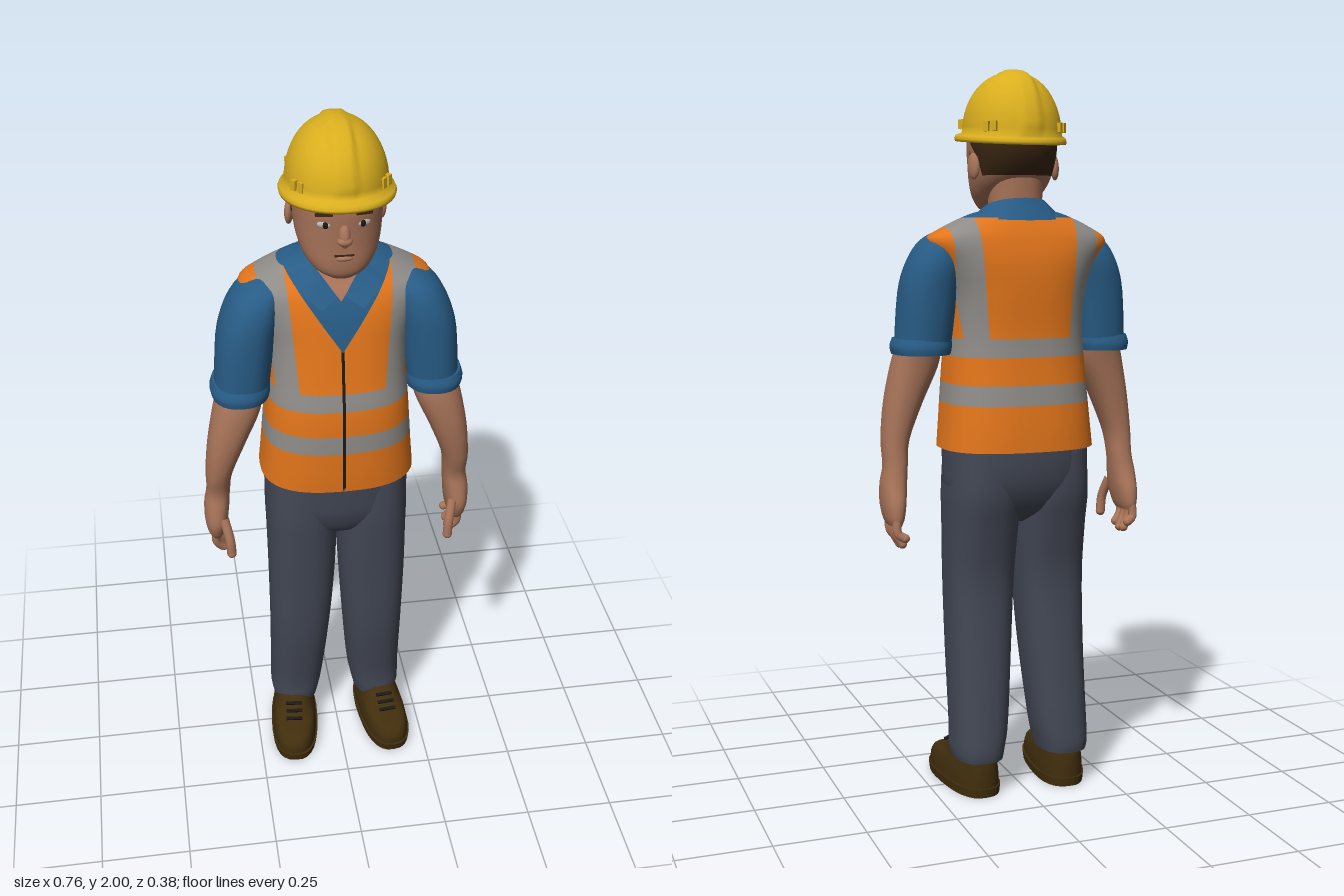
import * as THREE from 'three';

const mat = (name, color, side = THREE.FrontSide) =>
  Object.assign(new THREE.MeshStandardMaterial({ color, side }), { name });
const M = {
  orange: mat('vest orange', 0xe2751b), silver: mat('reflective grey', 0x8f8c88),
  blue: mat('shirt blue', 0x285c86, THREE.DoubleSide), skin: mat('skin', 0xa87459),
  slate: mat('trouser slate', 0x434855), brown: mat('boot brown', 0x412e0d),
  yellow: mat('helmet yellow', 0xd9ae1e), hair: mat('hair brown', 0x3a2612),
  dark: mat('dark trim', 0x1c1815), white: mat('eye white', 0xb9b4ac),
};

function add(parent, name, geo, material, pos, rot, scale) {
  const m = new THREE.Mesh(geo, material);
  m.name = name;
  if (pos) m.position.set(...pos);
  if (rot) m.rotation.set(...rot);
  if (scale) m.scale.set(...scale);
  parent.add(m);
  return m;
}

// Stacked rounded rings [y, xMin, xMax, zFront, zBack], listed from the bottom up
function loft(rings, { seg = 28, sub = 4, p = 2.3, rule } = {}) {
  const n = rings.length, rows = (n - 1) * sub, pos = [], idx = [];
  const at = (i, k) => rings[Math.min(n - 1, Math.max(0, i))][k];
  const cr = (a, b, c, d, t) =>
    b + 0.5 * t * (c - a + t * (2 * a - 5 * b + 4 * c - d + t * (3 * (b - c) + d - a)));
  const sp = (v) => Math.sign(v) * Math.abs(v) ** (2 / p);
  const put = (x, y, z) => pos.push(...(rule ? rule(x, y, z) : [x, y, z]));
  const ring = (r) => {
    const i = Math.min(n - 2, Math.floor(r / sub)), t = r / sub - i;
    const [y, x0, x1, zf, zb] = [0, 1, 2, 3, 4].map((k) => cr(at(i - 1, k), at(i, k), at(i + 1, k), at(i + 2, k), t));
    for (let j = 0; j < seg; j++) {
      const a = (j / seg) * Math.PI * 2;
      put((x0 + x1) / 2 + ((x1 - x0) / 2) * sp(Math.sin(a)), y, (zf + zb) / 2 + ((zf - zb) / 2) * sp(Math.cos(a)));
    }
    return [(x0 + x1) / 2, y, (zf + zb) / 2];
  };
  for (let r = 0; r <= rows; r++) ring(r);
  for (let r = 0; r < rows; r++) for (let j = 0; j < seg; j++) {
    const a = r * seg + j, b = r * seg + (j + 1) % seg;
    idx.push(a, b, b + seg, a, b + seg, a + seg);
  }
  for (const r of [0, rows]) { // end caps
    const base = pos.length / 3, c = ring(r);
    put(...c);
    for (let j = 0; j < seg; j++) {
      const a = base + j, b = base + (j + 1) % seg;
      idx.push(base + seg, ...(r ? [a, b] : [b, a]));
    }
  }
  const g = new THREE.BufferGeometry();
  g.setAttribute('position', new THREE.Float32BufferAttribute(pos, 3));
  g.setIndex(idx);
  g.computeVertexNormals();
  return g;
}

// Slices a surface along the zero lines of cuts, then sorts the faces into colours
function paint(parent, name, geo, cuts, pick) {
  const g = geo.toNonIndexed(), P = g.attributes.position.array, N = g.attributes.normal.array;
  let tris = [];
  for (let i = 0; i < P.length; i += 9)
    tris.push([0, 3, 6].map((k) => [...P.slice(i + k, i + k + 3), ...N.slice(i + k, i + k + 3)]));
  for (const f of cuts) {
    const next = [];
    for (const t of tris) {
      const d = t.map((v) => { const e = f(...v); return Math.abs(e) < 1e-6 ? 0 : e; });
      if (d.every((e) => e >= 0) || d.every((e) => e <= 0)) { next.push(t); continue; }
      for (const s of [1, -1]) {
        const poly = [];
        for (let i = 0; i < 3; i++) {
          const j = (i + 1) % 3, u = d[i] / (d[i] - d[j]);
          if (d[i] * s >= 0) poly.push(t[i]);
          if (d[i] * d[j] < 0) poly.push(t[i].map((v, k) => v + (t[j][k] - v) * u));
        }
        for (let i = 2; i < poly.length; i++) next.push([poly[0], poly[i - 1], poly[i]]);
      }
    }
    tris = next;
  }
  const bins = {};
  for (const t of tris) {
    const key = pick(...[0, 1, 2].map((k) => (t[0][k] + t[1][k] + t[2][k]) / 3));
    (bins[key] ??= []).push(...t);
  }
  for (const [key, vs] of Object.entries(bins)) {
    const b = new THREE.BufferGeometry();
    b.setAttribute('position', new THREE.Float32BufferAttribute(vs.flatMap((v) => v.slice(0, 3)), 3));
    b.setAttribute('normal', new THREE.Float32BufferAttribute(vs.flatMap((v) => v.slice(3)), 3));
    add(parent, `${name} ${key}`, b, M[key]);
  }
}

const sym = (rings) => rings.map(([y, w, f, b]) => [y, -w, w, f, b]);
const flip = (rings, s) => (s > 0 ? rings : rings.map(([y, a, b, f, k]) => [y, -b, -a, f, k]));
const ball = (r) => new THREE.SphereGeometry(r, 16, 12);

function torso(g) {
  const body = loft(sym([[0.975, 0.215, 0.153, -0.188], [1.05, 0.208, 0.156, -0.183], [1.2, 0.196, 0.154, -0.166],
    [1.3, 0.188, 0.138, -0.16], [1.4, 0.193, 0.122, -0.162], [1.48, 0.222, 0.108, -0.16], [1.54, 0.256, 0.088, -0.148],
    [1.575, 0.212, 0.066, -0.136], [1.61, 0.135, 0.045, -0.118], [1.625, 0.08, 0.02, -0.1]]), { seg: 48, p: 2.6 });
  const bands = [1.1, 1.155, 1.23, 1.28];
  const vee = (x, y) => y - 1.395 - 1.5 * Math.abs(x);
  const throat = (x, y) => y - 1.53 - 1.3 * Math.abs(x);
  const inner = (x, y) => Math.abs(x) - 0.115 - 0.08 * (y - 1.28);
  const outer = (x, y) => Math.abs(x) - 0.172 - 0.13 * (y - 1.28);
  const zip = (x) => Math.abs(x) - 0.004;
  paint(g, 'vest and shirt', body,
    [...bands.map((h) => (x, y) => y - h), (x, y) => y - 1.603, (x, y, z) => z + 0.03, vee, throat, inner, outer, zip],
    (x, y, z) => {
      const front = z > -0.03;
      if (front && throat(x, y) > 0) return 'skin';
      if ((front && vee(x, y) > 0) || y > 1.603) return 'blue';
      if (front && zip(x) < 0 && y > 0.98) return 'dark';
      if ((y > bands[0] && y < bands[1]) || (y > bands[2] && y < bands[3])) return 'silver';
      return y > 1.28 && inner(x, y) > 0 && outer(x, y) < 0 ? 'silver' : 'orange';
    });
  // Folded collar: a strip between a neck edge and a lower edge ending in points
  const edge = (pts) => new THREE.CatmullRomCurve3([...pts.slice(1).reverse().map(([x, y, z]) => [-x, y, z]), ...pts]
    .map((v) => new THREE.Vector3(...v))).getPoints(40);
  const top = edge([[0, 1.655, -0.108], [0.06, 1.65, -0.085], [0.085, 1.632, -0.01], [0.06, 1.602, 0.055], [0.01, 1.545, 0.093]]);
  const low = edge([[0, 1.595, -0.137], [0.1, 1.597, -0.108], [0.136, 1.592, -0.01], [0.11, 1.565, 0.075], [0.055, 1.52, 0.117]]);
  const collar = new THREE.PlaneGeometry(1, 1, 40, 1), p = collar.attributes.position;
  [...top, ...low].forEach((v, i) => p.setXYZ(i, v.x, v.y, v.z));
  collar.computeVertexNormals();
  add(g, 'collar', collar, M.blue);
}

function head(g) {
  add(g, 'neck', loft(sym([[1.53, 0.085, 0.06, -0.1], [1.62, 0.073, 0.045, -0.095], [1.75, 0.075, 0.05, -0.1]])), M.skin);
  const skull = loft(sym([[1.612, 0.035, 0.122, 0.05], [1.63, 0.068, 0.134, 0.01], [1.66, 0.092, 0.139, -0.04],
    [1.7, 0.107, 0.14, -0.09], [1.75, 0.114, 0.143, -0.126], [1.8, 0.117, 0.146, -0.14], [1.86, 0.113, 0.14, -0.135]]), { seg: 40 });
  const line = (x, y, z) => z + 0.04 - Math.max(0, y - 1.76) * 1.2;
  paint(g, 'head', skull, [(x, y) => y - 1.715, line], (x, y, z) => (y > 1.715 && line(x, y, z) < 0 ? 'hair' : 'skin'));
  add(g, 'nose', ball(1), M.skin, [0, 1.74, 0.143], [-0.25, 0, 0], [0.015, 0.032, 0.016]);
  add(g, 'nose tip', ball(1), M.skin, [0, 1.727, 0.148], null, [0.02, 0.013, 0.015]);
  add(g, 'mouth', new THREE.BoxGeometry(0.05, 0.005, 0.008), M.hair, [0, 1.684, 0.136]);
  add(g, 'lower lip', ball(1), M.skin, [0, 1.675, 0.135], null, [0.024, 0.008, 0.009]);
  for (const s of [1, -1]) {
    add(g, 'ear', ball(1), M.skin, [s * 0.118, 1.74, -0.02], [0.15, s * 0.3, 0], [0.012, 0.036, 0.023]);
    add(g, 'sideburn', new THREE.BoxGeometry(0.006, 0.06, 0.018), M.hair, [s * 0.113, 1.785, 0.008]);
    add(g, 'eye', ball(1), M.white, [s * 0.048, 1.768, 0.13], [0, s * 0.3, 0], [0.02, 0.011, 0.01]);
    add(g, 'iris', ball(1), M.dark, [s * 0.047, 1.768, 0.137], [0, s * 0.3, 0], [0.008, 0.009, 0.005]);
    add(g, 'eyebrow', new THREE.BoxGeometry(0.044, 0.008, 0.009), M.hair, [s * 0.05, 1.796, 0.135], [0, s * 0.35, -s * 0.1]);
  }
}

function helmet(g) {
  // Brim profile from the inside out, then the dome with a raised central ridge
  const rings = [[1.815, 0.118, 0.145, -0.14], [1.805, 0.146, 0.194, -0.167], [1.813, 0.148, 0.197, -0.169], [1.822, 0.144, 0.19, -0.165], [1.828, 0.132, 0.163, -0.158]];
  for (let i = 1; i <= 14; i++) {
    const a = (i / 14) * Math.PI / 2 * 0.99, c = Math.cos(a) ** 0.92;
    rings.push([1.828 + 0.166 * Math.sin(a), 0.131 * c, 0.003 + 0.159 * c, 0.003 - 0.16 * c]);
  }
  const rule = (x, y, z) => {
    const ridge = y > 1.84 ? 0.006 * (1 - THREE.MathUtils.smoothstep(Math.abs(x), 0.022, 0.034)) : 0;
    const tilt = 0.085 * z * THREE.MathUtils.clamp((2 - y) / 0.17, 0, 1);
    return [x, y + tilt + ridge * (y - 1.83) / 0.16, z + ridge * Math.sign(z) * Math.min(1, Math.abs(z) / 0.1)];
  };
  add(g, 'helmet', loft(sym(rings), { seg: 72, sub: 1, p: 2.1, rule }), M.yellow);
  for (const s of [1, -1]) for (const [x, z, yaw] of [[0.108, 0.096, 0.85], [0.1, -0.108, 2.35]])
    for (const k of [-1, 1]) // paired lugs for the strap
      add(g, 'helmet clip', new THREE.BoxGeometry(0.014, 0.026, 0.014), M.yellow,
        [s * x + k * s * 0.012 * Math.cos(yaw), 1.85 + z * 0.08, z - k * 0.012 * Math.sin(yaw)], [0, s * yaw, 0]);
}

function arm(g, s) {
  add(g, 'sleeve', loft(flip([[1.25, 0.185, 0.333, 0.098, -0.083], [1.4, 0.165, 0.322, 0.104, -0.098],
    [1.48, 0.15, 0.3, 0.1, -0.104], [1.54, 0.14, 0.263, 0.078, -0.09], [1.572, 0.14, 0.21, 0.03, -0.05]], s)), M.blue);
  add(g, 'sleeveCuff', loft(flip([[1.235, 0.186, 0.341, 0.104, -0.088], [1.255, 0.181, 0.345, 0.107, -0.09],
    [1.278, 0.182, 0.338, 0.1, -0.084]], s)), M.blue);
  add(g, 'forearm and palm', loft(flip([[0.77, 0.33, 0.366, 0.045, -0.055], [0.79, 0.322, 0.374, 0.06, -0.062],
    [0.83, 0.314, 0.379, 0.074, -0.058], [0.88, 0.308, 0.378, 0.068, -0.04], [0.93, 0.304, 0.37, 0.062, -0.03],
    [1, 0.295, 0.37, 0.083, -0.024], [1.1, 0.256, 0.36, 0.099, -0.03], [1.2, 0.212, 0.341, 0.1, -0.04], [1.26, 0.205, 0.325, 0.09, -0.05]], s)), M.skin);
  const digit = (name, pts, r) => {
    const v = pts.map(([x, y, z]) => new THREE.Vector3(s * x, y, z));
    add(g, name, new THREE.TubeGeometry(new THREE.CatmullRomCurve3(v), 8, r, 10), M.skin);
    add(g, `${name} tip`, ball(r), M.skin, v[2].toArray());
  };
  [0.715, 0.704, 0.707, 0.728].forEach((tip, i) => {
    const z = 0.036 - i * 0.028;
    digit('finger', [[0.35, 0.795, z], [0.35, 0.75, z - 0.006], [0.332, tip + 0.01, z - 0.013]], 0.0125);
  });
  digit('thumb', [[0.328, 0.85, 0.06], [0.315, 0.79, 0.083], [0.312, 0.745, 0.086]], 0.0135);
}

function leg(g, s) {
  add(g, 'trouserLeg', loft(flip([[0.1, 0.058, 0.194, 0.04, -0.143], [0.13, 0.052, 0.199, 0.046, -0.146], [0.2, 0.04, 0.198, 0.05, -0.14],
    [0.4, 0.022, 0.198, 0.085, -0.12], [0.6, 0.008, 0.2, 0.101, -0.108], [0.75, 0.001, 0.201, 0.113, -0.135],
    [0.85, 0, 0.202, 0.12, -0.158], [0.97, 0, 0.195, 0.12, -0.16]], s), { p: 2.5 }), M.slate);
  const boot = new THREE.Group();
  boot.name = 'boot';
  boot.position.set(s * 0.125, 0, -0.1);
  boot.rotation.y = s * 0.1;
  g.add(boot);
  add(boot, 'boot upper', loft([[0.02, -0.066, 0.068, 0.288, -0.036], [0.05, -0.066, 0.067, 0.286, -0.036], [0.075, -0.062, 0.063, 0.262, -0.035],
    [0.097, -0.057, 0.057, 0.19, -0.032], [0.135, -0.05, 0.05, 0.145, -0.025]], { p: 2.6 }), M.brown);
  add(boot, 'boot sole', loft([[0, -0.068, 0.07, 0.29, -0.038], [0.025, -0.071, 0.073, 0.295, -0.041]], { p: 2.6, sub: 1 }), M.brown);
  for (let i = 0; i < 3; i++)
    add(boot, 'lace', new THREE.BoxGeometry(0.05, 0.008, 0.009), M.dark, [0, 0.119 - i * 0.011, 0.165 + i * 0.022], [0.5, 0, 0]);
}

export function createModel() {
  const g = new THREE.Group();
  g.name = 'construction worker';
  torso(g);
  head(g);
  helmet(g);
  add(g, 'trouserSeat', loft(sym([[0.765, 0.07, 0.05, -0.07], [0.8, 0.16, 0.095, -0.125], [0.86, 0.199, 0.122, -0.16],
    [0.92, 0.203, 0.13, -0.174], [0.985, 0.203, 0.135, -0.176]]), { p: 2.5 }), M.slate);
  for (const s of [1, -1]) {
    arm(g, s);
    leg(g, s);
  }
  return g;
}
